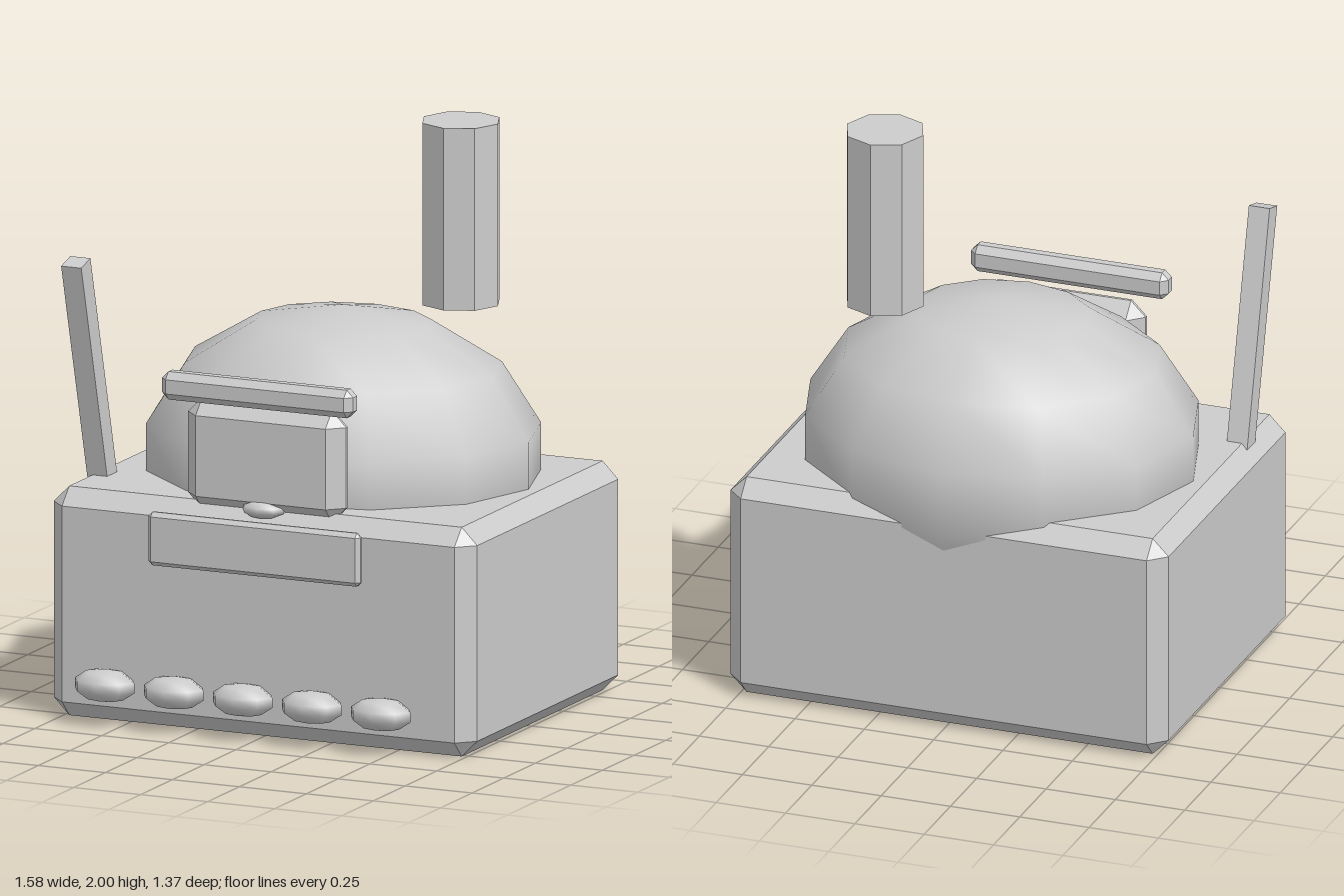
import * as THREE from 'three';
import { ConvexGeometry } from 'three/addons/geometries/ConvexGeometry.js';

const grey = new THREE.MeshStandardMaterial({ color: 0xcccccc });
grey.name = 'plain grey';

// Box between two corners with every edge cut by a single flat chamfer
function chamferBox([x0, y0, z0], [x1, y1, z1], c) {
  const half = [(x1 - x0) / 2, (y1 - y0) / 2, (z1 - z0) / 2];
  const points = [];
  for (const sx of [-1, 1]) for (const sy of [-1, 1]) for (const sz of [-1, 1]) {
    for (let axis = 0; axis < 3; axis++) {
      const p = half.map((h, i) => (i === axis ? h : h - c));
      points.push(new THREE.Vector3(p[0] * sx, p[1] * sy, p[2] * sz));
    }
  }
  const geometry = new ConvexGeometry(points);
  return geometry.translate((x0 + x1) / 2, (y0 + y1) / 2, (z0 + z1) / 2);
}

// Smooth low-poly ellipsoid
function ellipsoid(rx, ry, rz, around, rings) {
  return new THREE.SphereGeometry(1, around, rings).scale(rx, ry, rz);
}

export function createModel() {
  const model = new THREE.Group();
  model.name = 'domedMachine';

  function add(name, geometry, x = 0, y = 0, z = 0) {
    const mesh = new THREE.Mesh(geometry, grey);
    mesh.name = name;
    mesh.position.set(x, y, z);
    model.add(mesh);
    return mesh;
  }

  // Main block and the dome sunk into its top
  add('body', chamferBox([-0.79, 0, -0.655], [0.79, 0.793, 0.573], 0.058));
  add('dome', ellipsoid(0.708, 0.527, 0.605, 12, 7), 0, 0.838, -0.1);

  // Floating chimney
  add('chimney', new THREE.CylinderGeometry(0.138, 0.138, 0.63, 8).toNonIndexed(), 0.353, 1.685, -0.28)
    .geometry.computeVertexNormals();

  // Leaning lever on the right side
  add('lever', new THREE.BoxGeometry(0.075, 0.85, 0.075), -0.715, 1.155, 0.39)
    .rotation.x = THREE.MathUtils.degToRad(15);

  // Front window, the visor above it, the knob and the panel below
  add('window', chamferBox([-0.295, 0.76, 0.438], [0.295, 1.145, 0.555], 0.053));
  add('visor', chamferBox([-0.358, 1.143, 0.52], [0.355, 1.24, 0.598], 0.024));
  add('knob', ellipsoid(0.08, 0.032, 0.057, 8, 5), 0, 0.788, 0.53);
  add('frontPanel', chamferBox([-0.397, 0.57, 0.576], [0.395, 0.755, 0.614], 0.015));

  // Row of feet along the lower front edge
  for (let i = 0; i < 5; i++) {
    add('foot' + (i + 1), ellipsoid(0.116, 0.057, 0.079, 8, 5), -0.555 + i * 0.2575, 0.14, 0.61);
  }
  return model;
}
